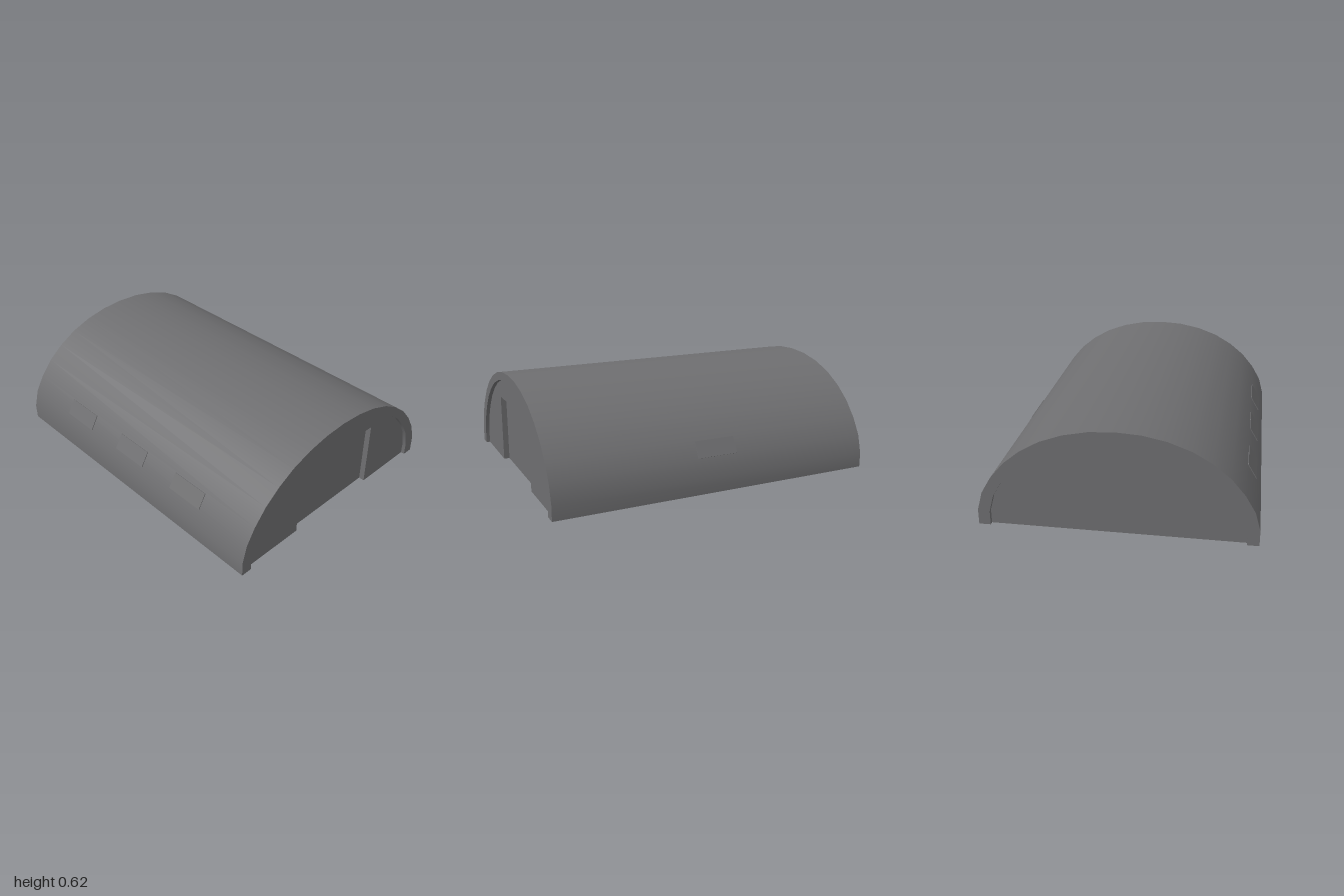
import * as THREE from 'three';

// Right half of the vault profile, from the ground to the crown
const HALF = [
  [0.78, 0], [0.78, 0.09], [0.75, 0.2], [0.693, 0.298], [0.615, 0.391],
  [0.52, 0.469], [0.408, 0.534], [0.28, 0.581], [0.143, 0.609], [0, 0.618],
];
const WALL_Z = 0.977, DOOR_Z = 0.943, DOOR_X = 0.315, DOOR_Y = 0.415;

// Full arch from +x over the crown to -x
function arch(sx, sy) {
  const half = HALF.map(([x, y]) => new THREE.Vector2(x * sx, y * sy));
  const mirrored = half.slice(0, -1).reverse().map((p) => new THREE.Vector2(-p.x, p.y));
  return [...half, ...mirrored];
}

// Open sheet that follows a path in x/y between two depths
function sheet(path, zFront, zBack) {
  const positions = [], index = [];
  path.forEach((p, i) => {
    positions.push(p.x, p.y, zFront, p.x, p.y, zBack);
    if (i < path.length - 1) {
      const a = i * 2;
      index.push(a, a + 1, a + 2, a + 1, a + 3, a + 2);
    }
  });
  const geometry = new THREE.BufferGeometry();
  geometry.setAttribute('position', new THREE.Float32BufferAttribute(positions, 3));
  geometry.setIndex(index);
  geometry.computeVertexNormals();
  return geometry;
}

function flatPanel(points, z) {
  return new THREE.ShapeGeometry(new THREE.Shape(points)).translate(0, 0, z);
}

export function createModel() {
  const model = new THREE.Group();
  model.name = 'archedHangar';
  const grey = new THREE.MeshStandardMaterial({ color: 0x6e6e70, side: THREE.DoubleSide });
  grey.name = 'hangarGrey';

  function add(parent, name, geometry) {
    const mesh = new THREE.Mesh(geometry, grey);
    mesh.name = name;
    parent.add(mesh);
    return mesh;
  }

  const outer = arch(1, 1);
  const inner = arch(0.914, 0.923);

  // Thin vault, open underneath
  add(model, 'vaultRoof', sheet(outer, 1, -1));

  // End with a flat rim, a shallow lip and an inset wall
  function addEnd(name, hasDoor) {
    const end = new THREE.Group();
    end.name = name;
    add(end, 'archRim', flatPanel([...outer, ...[...inner].reverse()], 1));
    add(end, 'rimLip', sheet(inner, 1, WALL_Z));

    const opening = [[-DOOR_X, 0], [-DOOR_X, DOOR_Y], [DOOR_X, DOOR_Y], [DOOR_X, 0]]
      .map(([x, y]) => new THREE.Vector2(x, y));
    add(end, 'endWall', flatPanel(hasDoor ? [...inner, ...opening] : inner, WALL_Z));
    if (hasDoor) {
      add(end, 'door', flatPanel(opening, DOOR_Z));
      // Jambs and lintel, one sheet each to keep the corners sharp
      for (let i = 0; i < 3; i++) {
        add(end, 'doorFrame', sheet(opening.slice(i, i + 2), WALL_Z, DOOR_Z));
      }
    }
    model.add(end);
    return end;
  }
  addEnd('frontEnd', true);
  addEnd('backEnd', false).rotation.y = Math.PI;

  // Side windows lying on the sloping third strip of the vault
  const [x0, y0] = HALF[2], [x1, y1] = HALF[3];
  const tilt = Math.atan2(x0 - x1, y1 - y0);
  function addWindow(side, z) {
    const pane = add(model, 'sideWindow', new THREE.BoxGeometry(0.008, 0.1, 0.25));
    pane.position.set(side * (x0 + x1) / 2, (y0 + y1) / 2, z);
    pane.rotation.z = side * tilt;
  }
  addWindow(1, 0);
  for (const z of [-0.5, 0, 0.5]) addWindow(-1, z);

  return model;
}
